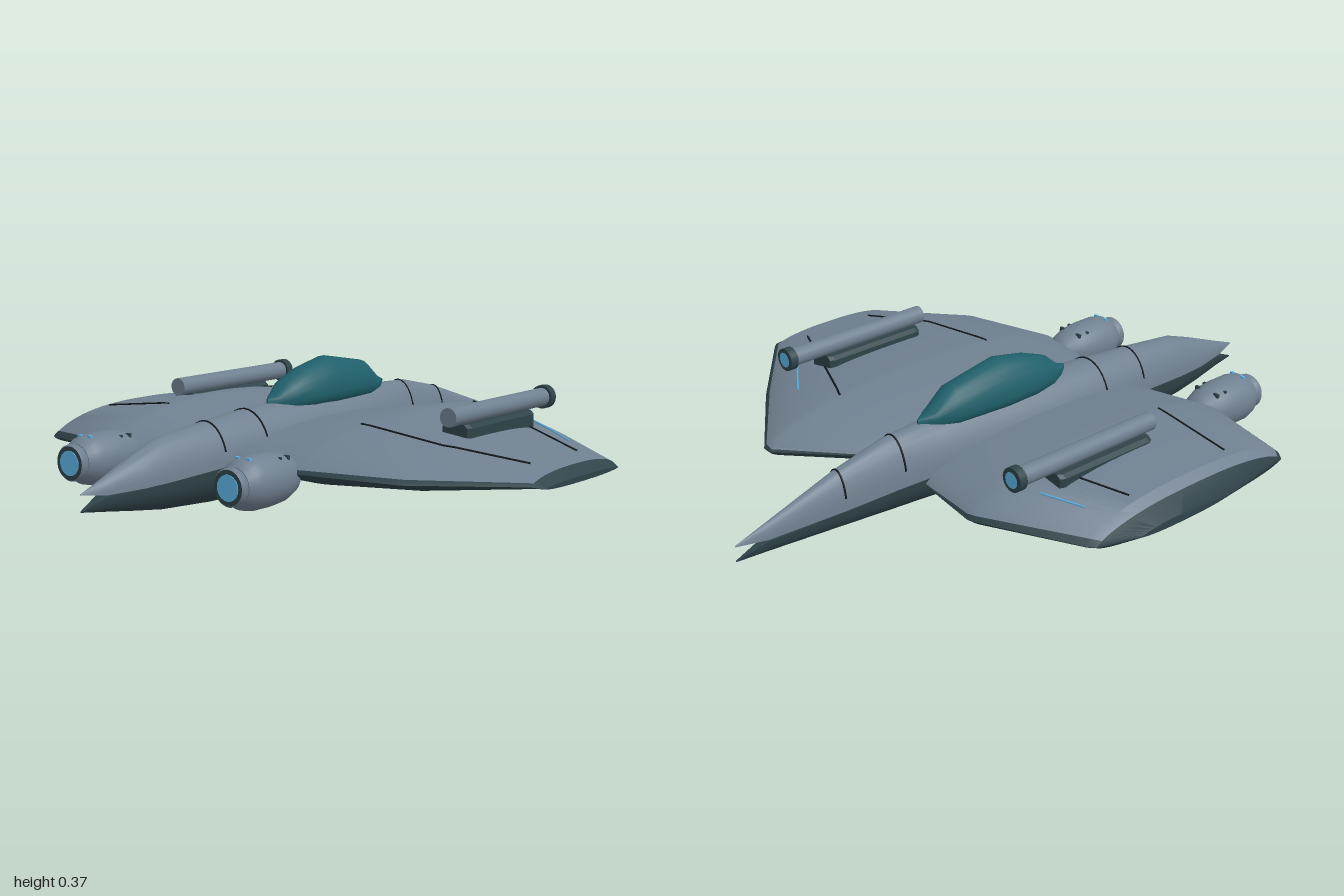
import * as THREE from 'three';
import { toCreasedNormals } from 'three/addons/utils/BufferGeometryUtils.js';

const paint = (name, color) => {
  const m = new THREE.MeshStandardMaterial({ color });
  m.name = name;
  return m;
};
const V = (x, y, z) => new THREE.Vector3(x, y, z);
const lerp = THREE.MathUtils.lerp;

// Skin closed rings of points, cap both ends, face outward
function loft(rings, crease = 0.6) {
  const n = rings[0].length, pos = [], tris = [];
  rings.flat().forEach(p => pos.push(p.x, p.y, p.z));
  for (let i = 0; i < rings.length - 1; i++)
    for (let j = 0; j < n; j++) {
      const a = i * n + j, b = i * n + (j + 1) % n;
      tris.push([a, b, a + n], [b, b + n, a + n]);
    }
  [0, rings.length - 1].forEach(i => {
    const c = V(0, 0, 0);
    rings[i].forEach(p => c.addScaledVector(p, 1 / n));
    const k = pos.length / 3;
    pos.push(c.x, c.y, c.z);
    for (let j = 0; j < n; j++) {
      const a = i * n + j, b = i * n + (j + 1) % n;
      tris.push(i ? [a, b, k] : [b, a, k]);
    }
  });
  const at = i => V(pos[3 * i], pos[3 * i + 1], pos[3 * i + 2]);
  const volume = tris.reduce((s, t) => s + at(t[0]).dot(at(t[1]).cross(at(t[2]))), 0);
  const index = tris.flatMap(t => (volume < 0 ? [t[0], t[2], t[1]] : t));
  const g = new THREE.BufferGeometry();
  g.setAttribute('position', new THREE.Float32BufferAttribute(pos, 3));
  g.setIndex(index);
  return toCreasedNormals(g, crease);
}

export function createModel() {
  const root = new THREE.Group();
  root.name = 'starfighter';
  const hull = paint('hull grey', 0x708090);
  const dark = paint('dark underside', 0x2f4349);
  const line = paint('panel line', 0x14191c);
  const glass = paint('canopy teal', 0x1f5f6a);
  const blue = paint('glow blue', 0x5fb4e6);

  const add = (name, geo, mat, parent = root, x = 0, y = 0, z = 0) => {
    const m = new THREE.Mesh(geo, mat);
    m.name = name;
    m.position.set(x, y, z);
    parent.add(m);
    return m;
  };
  const stroke = (name, pts, mat, r, parent = root) => {
    const path = new THREE.CurvePath();
    for (let i = 1; i < pts.length; i++) path.add(new THREE.LineCurve3(pts[i - 1], pts[i]));
    return add(name, new THREE.TubeGeometry(path, (pts.length - 1) * 2, r, 4), mat, parent);
  };

  // Fuselage: grey upper and dark lower half shells that part at the nose and tail
  const body = new THREE.Group();
  body.name = 'fuselage';
  body.position.x = -0.14;
  root.add(body);
  // z, half width, seam height, top or bottom height
  const upper = [[-1, 0.002, 0.1, 0.103], [-0.9, 0.016, 0.09, 0.135], [-0.65, 0.045, 0.1, 0.213],
    [-0.48, 0.062, 0.11, 0.25], [-0.3, 0.085, 0.12, 0.258], [0, 0.106, 0.125, 0.26], [0.3, 0.098, 0.12, 0.252],
    [0.5, 0.083, 0.112, 0.236], [0.7, 0.067, 0.1, 0.215], [0.8, 0.052, 0.094, 0.18], [0.92, 0.022, 0.09, 0.133], [1, 0.002, 0.1, 0.103]];
  const lower = [[-1, 0.002, 0.056, 0.053], [-0.9, 0.017, 0.085, 0.048], [-0.65, 0.047, 0.1, 0.035],
    [-0.48, 0.065, 0.11, 0.025], [-0.3, 0.088, 0.12, 0.017], [0, 0.11, 0.125, 0.005], [0.3, 0.102, 0.12, 0],
    [0.5, 0.086, 0.112, 0.001], [0.7, 0.07, 0.1, 0.012], [0.8, 0.054, 0.094, 0.025], [0.92, 0.023, 0.085, 0.042], [1, 0.002, 0.056, 0.053]];
  const arc = ([z, w, seam, end], from = 0, to = Math.PI, n = 16) =>
    Array.from({ length: n + 1 }, (_, i) => {
      const a = lerp(from, to, i / n);
      return V(w * Math.cos(a), seam + (end - seam) * Math.sin(a), z);
    });
  add('upperShell', loft(upper.map(s => arc(s))), hull, body);
  add('lowerShell', loft(lower.map(s => arc(s))), dark, body);
  const sample = (list, u) => {
    let i = 1;
    while (i < list.length - 1 && u > list[i][0]) i++;
    const a = list[i - 1], b = list[i], t = (u - a[0]) / (b[0] - a[0]);
    return a.map((v, k) => lerp(v, b[k], t));
  };
  [-0.655, -0.455, 0.325, 0.5].forEach(z =>
    stroke('hullBand', arc(sample(upper, z), 0.35, Math.PI - 0.35), line, 0.0035, body));

  // Canopy: z, half width, top height
  const canopy = [[-0.36, 0.003, 0.245], [-0.31, 0.034, 0.285], [-0.24, 0.058, 0.34], [-0.055, 0.074, 0.372],
    [0.06, 0.07, 0.348], [0.14, 0.052, 0.318], [0.19, 0.026, 0.275], [0.22, 0.003, 0.245]];
  add('canopy', loft(canopy.map(([z, w, top]) => Array.from({ length: 20 }, (_, i) => {
    const a = i / 20 * Math.PI * 2, s = Math.sin(a);
    return V(w * Math.cos(a), 0.265 + (s > 0 ? Math.max(top - 0.265, 0.002) : 0.05) * s, z);
  })), 0.6), glass, body);

  // Wings: x, leading z, trailing z, top, bottom, edge height, dark rim share
  const leftWing = [[-0.025, -0.43, 0.49, 0.21, 0.05, 0.128, 0.004], [0.2, -0.642, 0.53, 0.236, 0.046, 0.128, 0.01],
    [0.23, -0.64, 0.535, 0.235, 0.047, 0.128, 0.015], [0.53, -0.42, 0.47, 0.196, 0.073, 0.123, 0.035],
    [0.81, -0.185, 0.27, 0.15, 0.1, 0.12, 0.07], [0.84, -0.158, 0.245, 0.122, 0.106, 0.114, 0.07]];
  const rightWing = [[-0.842, -0.165, 0.2, 0.125, 0.1, 0.112, 0.05], [-0.808, -0.3, 0.46, 0.175, 0.08, 0.118, 0.05],
    [-0.785, -0.322, 0.477, 0.2, 0.072, 0.12, 0.045], [-0.5, -0.465, 0.535, 0.238, 0.05, 0.128, 0.02],
    [-0.47, -0.468, 0.53, 0.236, 0.05, 0.128, 0.015], [-0.255, -0.43, 0.49, 0.207, 0.05, 0.128, 0.004]];
  const bulge = t => Math.pow(Math.max(0, 1 - Math.pow(Math.abs(t), 2.6)), 0.7);
  const wingPoint = ([x, z0, z1, top, bot, mid], t, up) =>
    V(x, mid + ((up ? top : bot) - mid) * bulge(t), lerp(z0, z1, (t + 1) / 2));
  const sweep = Array.from({ length: 25 }, (_, i) => -Math.cos(i / 24 * Math.PI));
  const skinRing = s => sweep.map(t => wingPoint(s, t * (1 - s[6]), true));
  const bellyRing = s => {
    const rim = [1 - s[6], 1 - s[6] / 2];
    return [...rim.map(t => wingPoint(s, t, true)), ...sweep.map(t => wingPoint(s, -t, false)),
      ...rim.reverse().map(t => wingPoint(s, -t, true))];
  };
  const addWing = (side, main, tip) => {
    add(side + 'WingSkin', loft(main.map(skinRing)), hull);
    add(side + 'WingBelly', loft(main.map(bellyRing)), dark);
    add(side + 'WingTip', loft(tip.map(s => [...skinRing(s), ...bellyRing(s)])), dark);
  };
  addWing('left', leftWing.slice(0, 5), leftWing.slice(4));
  addWing('right', rightWing.slice(1), rightWing.slice(0, 2));

  // Seams and stripes laid on the wing skin
  const wingLine = (name, wing, pts, mat, lift = 0.001) => {
    const out = [];
    for (let i = 1; i < pts.length; i++)
      for (let k = i > 1 ? 1 : 0; k <= 8; k++) {
        const x = lerp(pts[i - 1][0], pts[i][0], k / 8), z = lerp(pts[i - 1][1], pts[i][1], k / 8);
        const s = sample(wing, x);
        out.push(V(x, wingPoint(s, (z - s[1]) / (s[2] - s[1]) * 2 - 1, true).y + lift, z));
      }
    stroke(name, out, mat, 0.0035);
  };
  wingLine('leftRearSeam', leftWing, [[0.21, -0.37], [0.74, -0.1]], line);
  wingLine('leftFrontSeam', leftWing, [[0.21, 0.22], [0.5, 0.226], [0.74, 0.155]], line);
  wingLine('leftStripe', leftWing, [[0.385, -0.4], [0.65, -0.21]], blue, 0.003);
  wingLine('rightRearSeam', rightWing, [[-0.76, -0.13], [-0.49, -0.23]], line);
  wingLine('rightFrontSeam', rightWing, [[-0.76, 0.26], [-0.49, 0.27]], line);
  wingLine('rightStripe', rightWing, [[-0.71, -0.25], [-0.59, -0.3]], blue, 0.003);

  // Engine pods at the front edge of each wing
  const lathe = pts => toCreasedNormals(
    new THREE.LatheGeometry(pts.map(p => new THREE.Vector2(...p)), 24).rotateX(Math.PI / 2), 0.6);
  [-0.44, 0.16].forEach(x => {
    const pod = new THREE.Group();
    pod.name = 'engine';
    pod.position.set(x, 0.116, 0);
    root.add(pod);
    add('enginePod', lathe([[0, 0.46], [0.03, 0.475], [0.055, 0.505], [0.071, 0.55], [0.076, 0.6],
      [0.076, 0.67], [0.069, 0.7], [0.053, 0.722], [0, 0.722]]), hull, pod);
    add('engineCollar', lathe([[0.047, 0.715], [0.054, 0.728], [0.054, 0.744], [0.05, 0.749]]), hull, pod);
    add('engineRing', lathe([[0.05, 0.749], [0.037, 0.749], [0.037, 0.72]]), dark, pod);
    add('engineGlow', rodZ(0.037, 0.03), blue, pod, 0, 0, 0.736);
    for (const s of [-1, 1]) {
      for (const z of [0.545, 0.58])
        add('rivet', new THREE.BoxGeometry(0.018, 0.012, 0.009), dark, pod, s * 0.037, 0.058, z);
      add('podLight', new THREE.BoxGeometry(0.014, 0.009, 0.009), blue, pod, s * 0.02, 0.07, 0.685);
    }
  });

  // Cannons on top of the wings, muzzles to the rear
  [-0.57, 0.46].forEach(x => {
    const gun = new THREE.Group();
    gun.name = 'cannon';
    gun.position.set(x, 0.258, 0);
    root.add(gun);
    add('barrel', rodZ(0.028, 0.52), hull, gun, 0, 0, -0.115);
    add('muzzle', rodZ(0.036, 0.026), dark, gun, 0, 0, -0.377);
    add('muzzleGlow', new THREE.CircleGeometry(0.024, 20).rotateY(Math.PI), blue, gun, 0, 0, -0.392);
    const mount = [[-0.25, 0.042], [-0.235, 0.05], [0.095, 0.05], [0.11, 0.042]];
    add('mount', loft(mount.map(([z, w]) => [V(-w, -0.08, z), V(w, -0.08, z), V(w, -0.032, z),
      V(w - 0.012, -0.022, z), V(-w + 0.012, -0.022, z), V(-w, -0.032, z)]), 0.3), dark, gun);
  });

  return root;
}

// Cylinder lying along z
function rodZ(r, len) {
  return new THREE.CylinderGeometry(r, r, len, 20).rotateX(Math.PI / 2);
}
